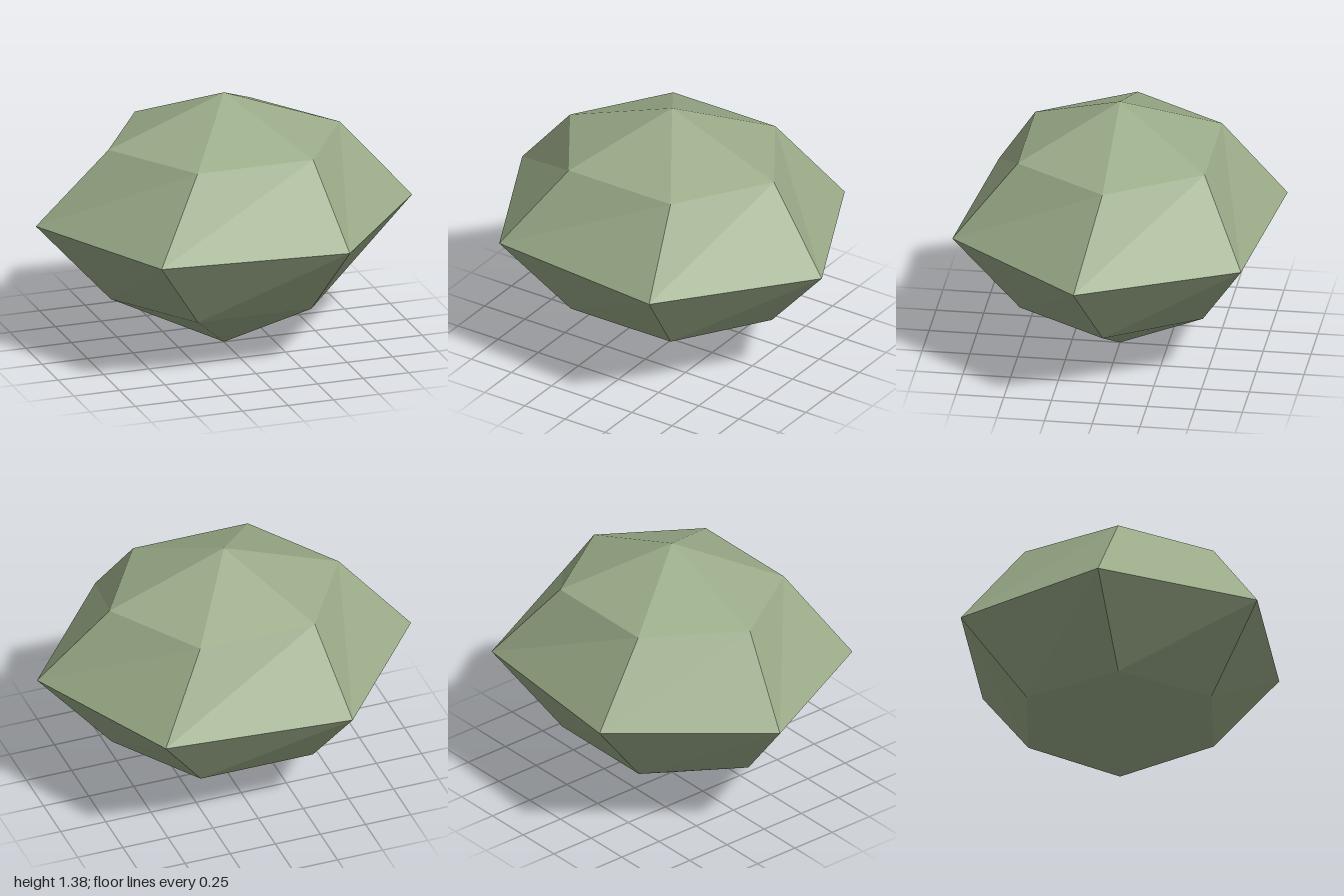
import * as THREE from 'three';

const SIDES = 6;
const DEPTH = 0.89; // the stone is slightly flattened front to back

// One hexagonal ring of corners, twisted about the vertical axis
function ring(radius, y, twist = 0) {
  return Array.from({ length: SIDES }, (_, i) => {
    const a = (i / SIDES) * Math.PI * 2 + twist;
    return [Math.cos(a) * radius, y, Math.sin(a) * radius * DEPTH];
  });
}

export function createModel() {
  const group = new THREE.Group();
  group.name = 'facetedStone';
  const sage = new THREE.MeshStandardMaterial({ color: 0x9aab88 });
  sage.name = 'sageGreen';

  // Cross-sections from top to bottom
  const peak = [0, 1.38, 0];
  const upper = ring(0.635, 1.14);
  const girdle = ring(1.005, 0.727, 0.111);
  const lower = ring(0.622, 0.313);
  const base = [0, 0, 0];

  // Cap, two bands and the pointed underside, with unshared corners for flat facets
  const points = [];
  for (let i = 0; i < SIDES; i++) {
    const j = (i + 1) % SIDES;
    points.push(peak, upper[j], upper[i]);
    for (const [a, b] of [[upper, girdle], [girdle, lower]]) {
      points.push(a[i], a[j], b[j], a[i], b[j], b[i]);
    }
    points.push(base, lower[i], lower[j]);
  }

  const geometry = new THREE.BufferGeometry();
  geometry.setAttribute('position', new THREE.Float32BufferAttribute(points.flat(), 3));
  geometry.computeVertexNormals();

  const stone = new THREE.Mesh(geometry, sage);
  stone.name = 'stone';
  group.add(stone);
  return group;
}
